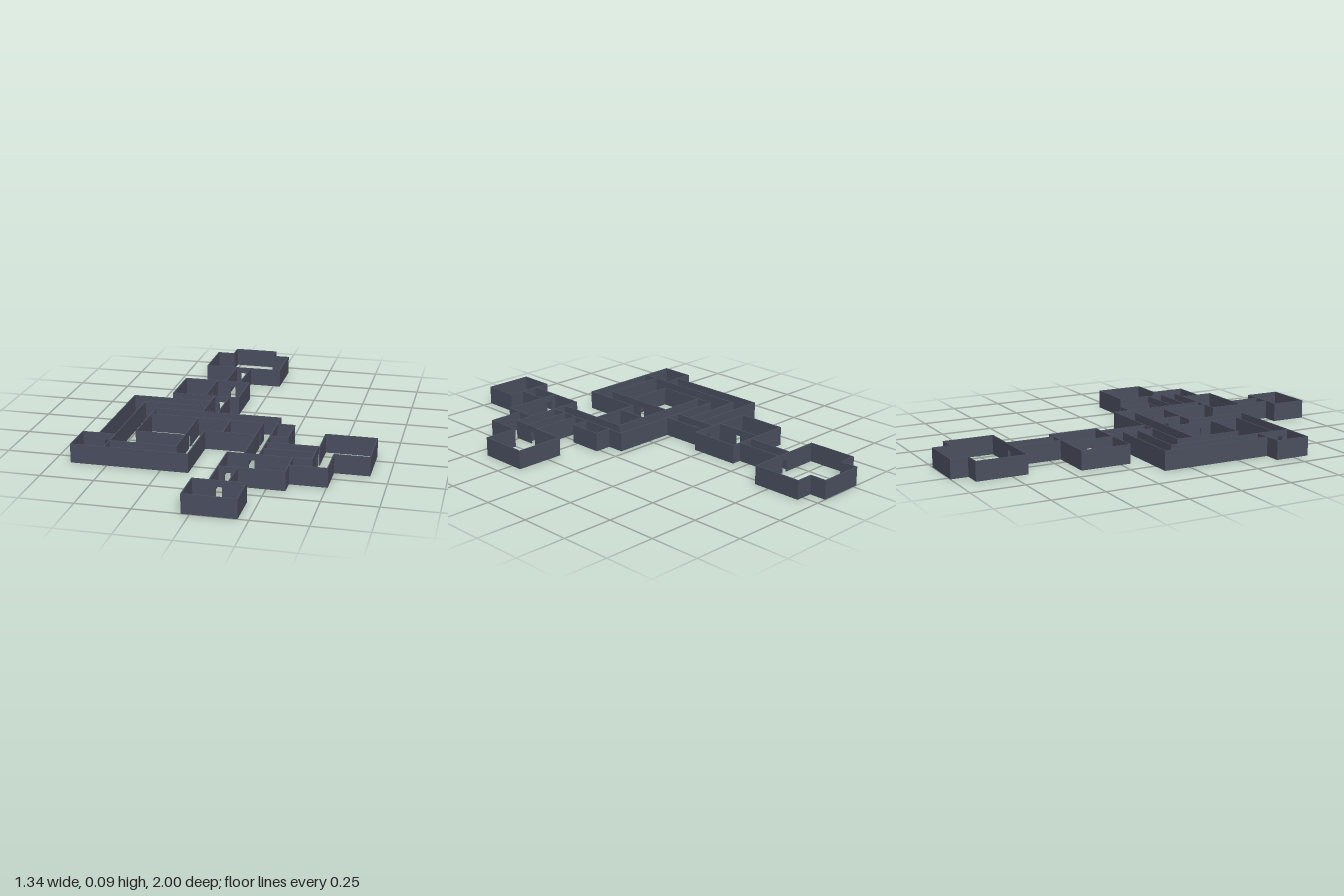
import * as THREE from 'three';

const H = 0.09, T = 0.005;          // wall height and thickness
const DOOR_W = 0.026, DOOR_H = 0.06; // doorway opening

const stone = new THREE.MeshStandardMaterial({ color: 0x4b5060 });
stone.name = 'slate wall';

// One straight wall from a to b; an optional door position (distance 0..1 along it)
function addWall(parent, [x0, z0], [x1, z1], door) {
  const dx = x1 - x0, dz = z1 - z0, len = Math.hypot(dx, dz);
  const s = new THREE.Shape();
  const e = T / 2;
  s.moveTo(-e, 0);
  if (door !== undefined) {
    const l = door * len - DOOR_W / 2, r = l + DOOR_W;
    s.lineTo(l, 0).lineTo(l, DOOR_H).lineTo(r, DOOR_H).lineTo(r, 0);
  }
  s.lineTo(len + e, 0).lineTo(len + e, H).lineTo(-e, H);
  const geo = new THREE.ExtrudeGeometry(s, { depth: T, bevelEnabled: false });
  geo.translate(0, 0, -e);
  const wall = new THREE.Mesh(geo, stone);
  wall.name = door === undefined ? 'wall' : 'doorWall';
  wall.position.set(x0, 0, z0);
  wall.rotation.y = Math.atan2(-dz, dx);
  parent.add(wall);
}

export function createModel() {
  const model = new THREE.Group();
  model.name = 'mazeWalls';

  // A named run of walls through points; doors maps segment index -> position
  const run = (name, pts, doors = {}) => {
    const g = new THREE.Group();
    g.name = name;
    for (let i = 0; i < pts.length - 1; i++) addWall(g, pts[i], pts[i + 1], doors[i]);
    model.add(g);
  };
  // Closed rectangular room; segments: 0 back, 1 right, 2 front, 3 left
  const room = (name, x0, z0, x1, z1, doors) =>
    run(name, [[x0, z0], [x1, z0], [x1, z1], [x0, z1], [x0, z0]], doors);

  // Back hall with a raised apse
  run('backHall', [[-0.27, -0.997], [-0.053, -0.997], [-0.053, -0.915], [0.032, -0.915],
    [0.032, -0.677], [-0.355, -0.677], [-0.355, -0.915], [-0.27, -0.915], [-0.27, -0.997]], { 4: 0.5 });
  run('backCorridorLeft', [[-0.124, -0.677], [-0.124, -0.443]]);
  run('backCorridorRight', [[-0.198, -0.677], [-0.198, -0.443]]);

  // Divided room
  run('dividedRoom', [[-0.41, -0.443], [-0.198, -0.443], [-0.124, -0.443], [-0.077, -0.443],
    [-0.077, -0.205], [-0.124, -0.205], [-0.198, -0.205], [-0.41, -0.205], [-0.41, -0.443]], { 1: 0.5, 5: 0.5 });
  run('roomDivider', [[-0.245, -0.443], [-0.245, -0.205]], { 0: 0.5 });
  run('middleCorridorLeft', [[-0.124, -0.205], [-0.124, 0.03]]);
  run('middleCorridorRight', [[-0.198, -0.205], [-0.198, -0.125], [-0.198, -0.05], [-0.198, 0.03]], { 1: 0.5 });

  // Long corridor wrapping round the side
  run('wrapOuter', [[-0.198, -0.125], [-0.587, -0.125], [-0.587, 0.41]]);
  run('wrapInner', [[-0.198, -0.05], [-0.51, -0.05], [-0.51, 0.41]]);
  run('sideRoom', [[-0.667, 0.41], [-0.587, 0.41], [-0.51, 0.41], [-0.51, 0.493], [-0.51, 0.573],
    [-0.667, 0.573], [-0.667, 0.41]], { 1: 0.5, 3: 0.5 });
  run('frontWrapOuter', [[-0.51, 0.573], [-0.124, 0.573], [-0.124, 0.274]]);
  run('frontWrapInner', [[-0.51, 0.493], [-0.198, 0.493], [-0.198, 0.35]]);

  // Inner court and the chambers beside it
  run('innerCourt', [[-0.43, 0.113], [-0.198, 0.113], [-0.198, 0.35], [-0.43, 0.35], [-0.43, 0.113]], { 1: 0.7 });
  run('chambers', [[-0.198, 0.113], [0.117, 0.113], [0.117, 0.274], [-0.124, 0.274]], { 1: 0.5 });
  run('chamberDivider', [[-0.04, 0.113], [-0.04, 0.274]], { 0: 0.5 });

  // Main corridor
  run('mainCorridorBack', [[-0.43, 0.113], [-0.43, 0.03], [-0.198, 0.03], [-0.124, 0.03],
    [0.184, 0.03], [0.184, 0.113]], { 2: 0.5 });
  run('mainCorridorLeft', [[0.184, 0.113], [0.184, 0.274], [0.184, 0.355], [0.184, 0.43], [0.184, 0.51]],
    { 0: 0.5, 2: 0.5 });
  run('mainCorridorRight', [[0.117, 0.274], [0.117, 0.51]]);
  run('alcove', [[0.184, 0.113], [0.266, 0.113], [0.266, 0.274], [0.184, 0.274]]);

  // Link corridor and the left room
  run('linkBack', [[0.184, 0.355], [0.42, 0.355]]);
  run('linkFront', [[0.184, 0.43], [0.42, 0.43]]);
  run('linkEnd', [[0.42, 0.355], [0.42, 0.43], [0.42, 0.51]], { 0: 0.5 });
  run('leftRoom', [[0.427, 0.355], [0.427, 0.195], [0.664, 0.195], [0.664, 0.43], [0.503, 0.43],
    [0.503, 0.597], [0.333, 0.597]]);

  // Front rooms
  run('frontRoom', [[0.04, 0.51], [0.117, 0.51], [0.184, 0.51], [0.333, 0.51], [0.333, 0.597], [0.333, 0.673],
    [0.125, 0.673], [0.04, 0.673], [0.04, 0.51]], { 1: 0.5, 3: 0.5, 6: 0.5 });
  run('frontRoomLink', [[0.333, 0.51], [0.42, 0.51]]);
  run('entryCorridorLeft', [[0.125, 0.673], [0.125, 0.83]]);
  run('entryCorridorRight', [[0.04, 0.673], [0.04, 0.83]]);
  room('entryRoom', -0.035, 0.83, 0.2, 0.997, { 0: 0.5 });

  return model;
}
